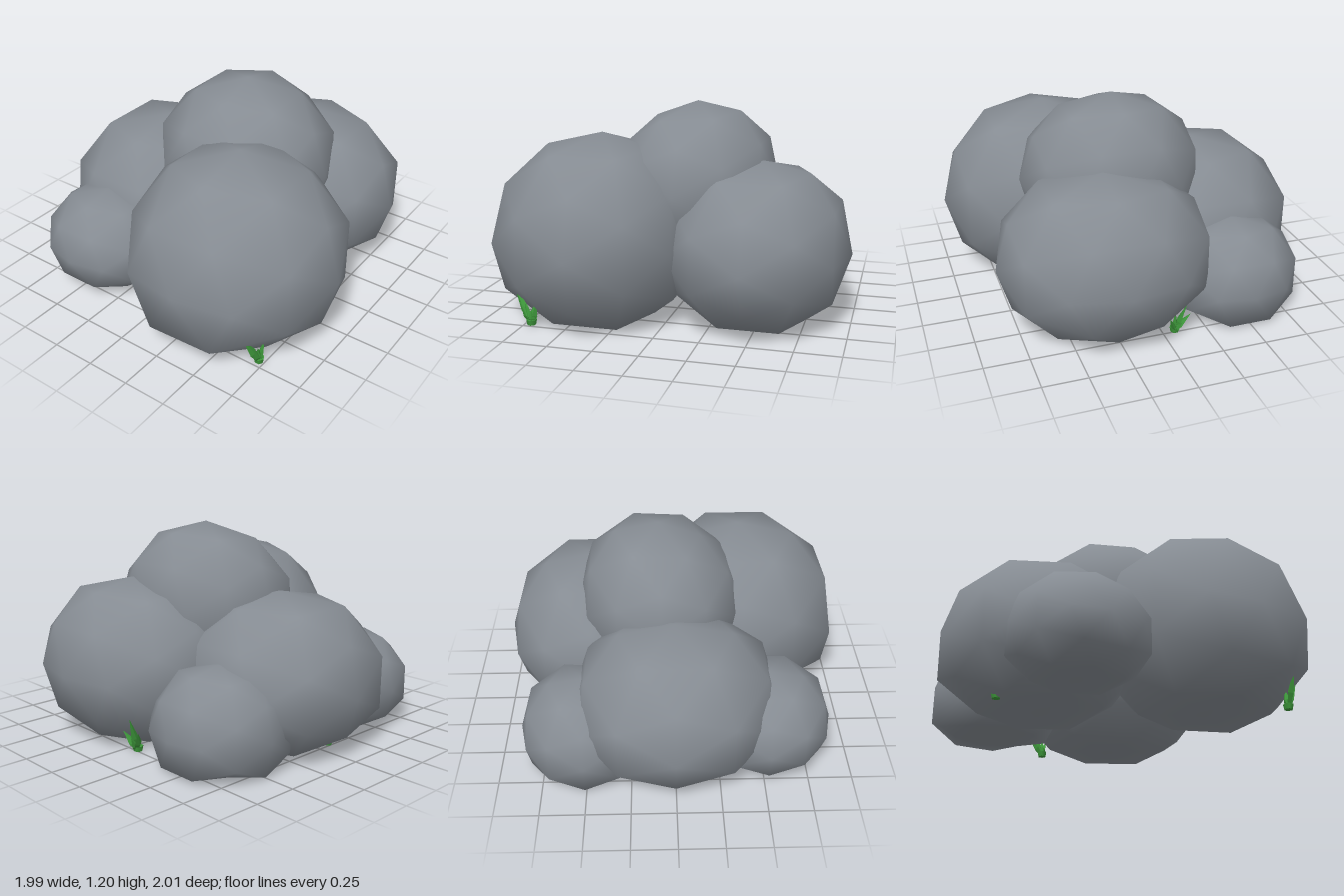
import * as THREE from 'three';
import { mergeVertices } from 'three/addons/utils/BufferGeometryUtils.js';

const stone = new THREE.MeshStandardMaterial({ color: 0x868c93 });
stone.name = 'grey stone';
const green = new THREE.MeshStandardMaterial({ color: 0x3f9a3c, side: THREE.DoubleSide });
green.name = 'grass green';

const FLOOR = 0.004;

// Chunky low-poly boulder: an icosphere swollen towards a box, stretched from
// its centre to the low and high limits, and cut flat at the floor.
// Each bulge [x, y, z, amount] pushes one side out (or in, if negative).
function boulder(name, { centre, low, high, power, bulges = [] }) {
  let geo = new THREE.IcosahedronGeometry(1, 1);
  geo.deleteAttribute('normal');
  geo.deleteAttribute('uv');
  geo = mergeVertices(geo, 1e-4);
  const pos = geo.attributes.position;
  for (let i = 0; i < pos.count; i++) {
    const unit = new THREE.Vector3().fromBufferAttribute(pos, i);
    const sum = unit.toArray().reduce((s, c) => s + Math.abs(c) ** power, 0);
    const v = unit.clone().divideScalar(sum ** (1 / power));
    for (const [x, y, z, amount] of bulges) {
      const dir = new THREE.Vector3(x, y, z).normalize();
      v.addScaledVector(dir, amount * Math.max(0, unit.dot(dir)) ** 4);
    }
    const p = v.toArray().map((c, k) =>
      centre[k] + c * (c > 0 ? high[k] - centre[k] : centre[k] - low[k]));
    pos.setXYZ(i, Math.max(p[0], -1), Math.max(p[1], FLOOR), p[2]);
  }
  geo.computeVertexNormals();
  const mesh = new THREE.Mesh(geo, stone);
  mesh.name = name;
  return mesh;
}

// Four-sided leaf, widest below the middle, from the tuft base to a tip
function blade(tip, width) {
  const dir = new THREE.Vector3(...tip);
  const length = dir.length();
  const profile = [[0.01, 0], [width, 0.38 * length], [0.0005, length]];
  const geo = new THREE.LatheGeometry(profile.map((p) => new THREE.Vector2(...p)), 4).toNonIndexed();
  geo.scale(1, 1, 0.6);
  geo.computeVertexNormals();
  const mesh = new THREE.Mesh(geo, green);
  mesh.quaternion.setFromUnitVectors(new THREE.Vector3(0, 1, 0), dir.normalize());
  mesh.position.y = 0.008;
  mesh.name = 'grassBlade';
  return mesh;
}

function tuft(name, position, tips) {
  const group = new THREE.Group();
  group.name = name;
  group.position.set(...position);
  for (const tip of tips) group.add(blade(tip, 0.024));
  // small root knot
  const root = new THREE.Mesh(new THREE.CylinderGeometry(0.03, 0.024, 0.03, 6), green);
  root.position.y = 0.015;
  root.name = 'grassRoot';
  group.add(root);
  return group;
}

export function createModel() {
  const model = new THREE.Group();
  model.name = 'rockPile';

  model.add(
    boulder('frontRightBoulder', {
      centre: [-0.4, 0.45, 0.37], low: [-1, -0.12, -0.23], high: [0.16, 1.04, 1], power: 2.1,
      bulges: [[-1, -0.45, -0.1, 0.12], [-1, 0.4, -0.2, 0.05]],
    }),
    boulder('frontLeftBoulder', {
      centre: [0.48, 0.4, 0.26], low: [-0.06, -0.05, -0.35], high: [1, 0.9, 0.86], power: 2.2,
      bulges: [[1, 0, 0.7, -0.03]],
    }),
    boulder('topBoulder', {
      centre: [0.07, 0.74, 0.09], low: [-0.42, 0.2, -0.44], high: [0.56, 1.22, 0.63], power: 2.08,
      bulges: [[-1, 1.2, 0, -0.1], [0, 1, 1, -0.05], [0, 1, -1, -0.03]],
    }),
    boulder('backBoulder', {
      centre: [0, 0.34, -0.42], low: [-0.6, -0.07, -1], high: [0.58, 0.84, 0.08], power: 2.25,
      bulges: [[1, 0, -1, 0.05], [0, 1, -0.7, 0.05]],
    }),
    boulder('backLeftBoulder', {
      centre: [0.51, 0.2, -0.49], low: [0.14, -0.15, -0.87], high: [0.88, 0.54, -0.12], power: 2.28,
    }),
    boulder('backRightBoulder', {
      centre: [-0.52, 0.24, -0.48], low: [-0.89, -0.06, -0.85], high: [-0.14, 0.56, -0.09], power: 2.25,
    })
  );

  // Grass growing between the stones
  model.add(
    tuft('frontGrass', [-0.71, 0, 0.72], [
      [-0.11, 0.2, -0.03], [-0.03, 0.11, 0.01], [0.035, 0.13, 0.01], [0.01, 0.08, 0.02], [-0.06, 0.12, 0.01],
    ]),
    tuft('sideGrass', [0.74, 0, -0.07], [
      [0.08, 0.2, -0.035], [0.06, 0.11, 0.05], [0.05, 0.12, -0.07], [0.03, 0.13, 0.01], [0.06, 0.08, -0.02],
    ]),
    tuft('backGrass', [-0.09, 0, -0.73], [
      [0.03, 0.12, 0.02], [-0.04, 0.1, 0.01], [0, 0.14, -0.03],
    ])
  );
  return model;
}
